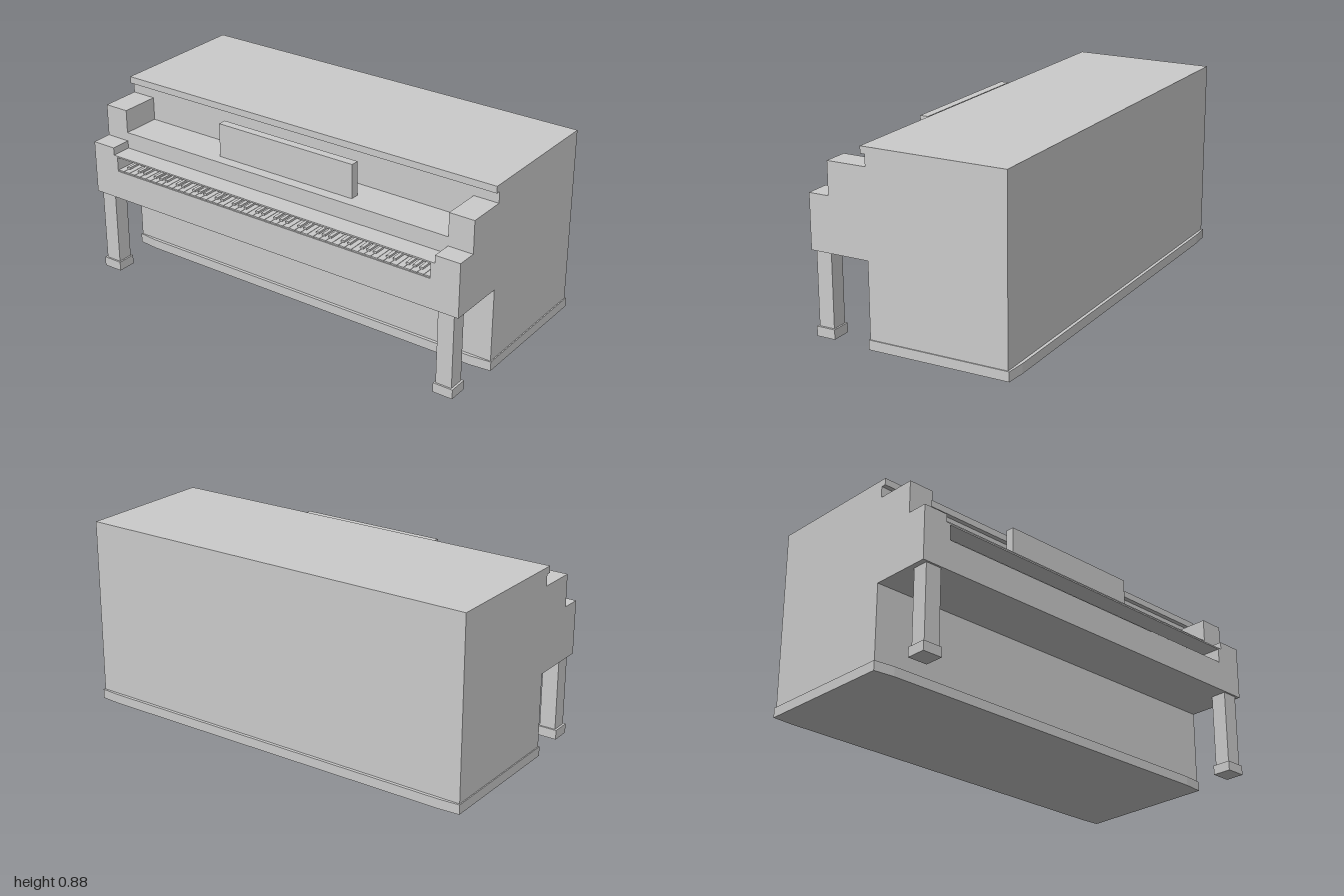
import * as THREE from 'three';
import { mergeGeometries } from 'three/addons/utils/BufferGeometryUtils.js';

const material = new THREE.MeshStandardMaterial({ color: 0xcccccc, flatShading: true });

// Box given by its low and high limits on each axis.
function boxGeometry(x0, x1, y0, y1, z0, z1) {
  return new THREE.BoxGeometry(x1 - x0, y1 - y0, z1 - z0)
    .translate((x0 + x1) / 2, (y0 + y1) / 2, (z0 + z1) / 2);
}

// Side profile of [z, y] points, extruded along x from x0 to x1.
function profileGeometry(points, x0, x1) {
  const shape = new THREE.Shape(points.map(([z, y]) => new THREE.Vector2(-z, y)));
  return new THREE.ExtrudeGeometry(shape, { depth: x1 - x0, bevelEnabled: false })
    .rotateY(Math.PI / 2).translate(x0, 0, 0);
}

export function createModel() {
  const piano = new THREE.Group();
  piano.name = 'uprightPiano';
  const add = (name, geometry, parent = piano) => {
    const mesh = new THREE.Mesh(geometry, material);
    mesh.name = name;
    parent.add(mesh);
    return mesh;
  };

  const half = 0.992, inner = 0.872, slot = 0.852;
  const back = -0.465, front = 0.48, step = 0.383, panel = 0.195;

  // Plinth with slightly bowed front and back edges
  const outline = new THREE.Shape([
    [-0.997, -0.2], [-0.9, -0.21], [0.9, -0.21], [0.997, -0.2],
    [0.997, 0.473], [0.9, 0.48], [-0.9, 0.48], [-0.997, 0.473],
  ].map(([x, y]) => new THREE.Vector2(x, y)));
  add('plinth', new THREE.ExtrudeGeometry(outline, { depth: 0.045, bevelEnabled: false })
    .rotateX(-Math.PI / 2));

  // Case between the cheeks: cabinet, music shelf and key bed
  add('case', profileGeometry([
    [back, 0.045], [panel, 0.045], [panel, 0.395], [front, 0.395], [front, 0.535],
    [step, 0.535], [step, 0.69], [panel, 0.69], [panel, 0.853], [back, 0.853],
  ], -inner, inner));

  // Lid with a small front overhang
  add('lid', boxGeometry(-half, half, 0.853, 0.885, back, 0.217));

  // Keyboard cover above the key slot
  add('keyCover', boxGeometry(-inner, inner, 0.605, 0.612, step, front));

  // Music desk
  add('musicDesk', boxGeometry(-0.36, 0.36, 0.69, 0.85, 0.292, 0.332));

  // Stepped cheeks, key blocks and front legs
  for (const [label, s] of [['left', 1], ['right', -1]]) {
    const span = (a, b) => (s > 0 ? [a, b] : [-b, -a]);
    add(label + 'Cheek', profileGeometry([
      [back, 0.045], [panel, 0.045], [panel, 0.395], [front, 0.395], [front, 0.648],
      [step, 0.648], [step, 0.8], [panel, 0.8], [panel, 0.853], [back, 0.853],
    ], ...span(inner, half)));
    add(label + 'KeyBlock', boxGeometry(...span(slot, inner), 0.535, 0.605, step, front));

    const leg = new THREE.Group();
    leg.name = label + 'FrontLeg';
    add('post', boxGeometry(...span(0.89, 0.968), 0.045, 0.395, 0.396, 0.471), leg);
    add('foot', boxGeometry(...span(0.882, 0.978), 0, 0.045, 0.388, 0.479), leg);
    piano.add(leg);
  }

  // Keyboard: 52 white keys, black keys in groups of two and three
  const whites = [], blacks = [];
  const pitch = (2 * slot) / 52;
  for (let i = 0; i < 52; i++) {
    const x = -slot + i * pitch;
    whites.push(boxGeometry(x + 0.001, x + pitch - 0.001, 0.535, 0.541, step, front - 0.004));
    // Scale runs A to G, with no black key after B or E
    if (i < 51 && ![1, 4].includes(i % 7)) {
      const c = x + pitch;
      blacks.push(boxGeometry(c - 0.008, c + 0.008, 0.541, 0.55, step, 0.445));
    }
  }
  add('whiteKeys', mergeGeometries(whites));
  add('blackKeys', mergeGeometries(blacks));

  return piano;
}
